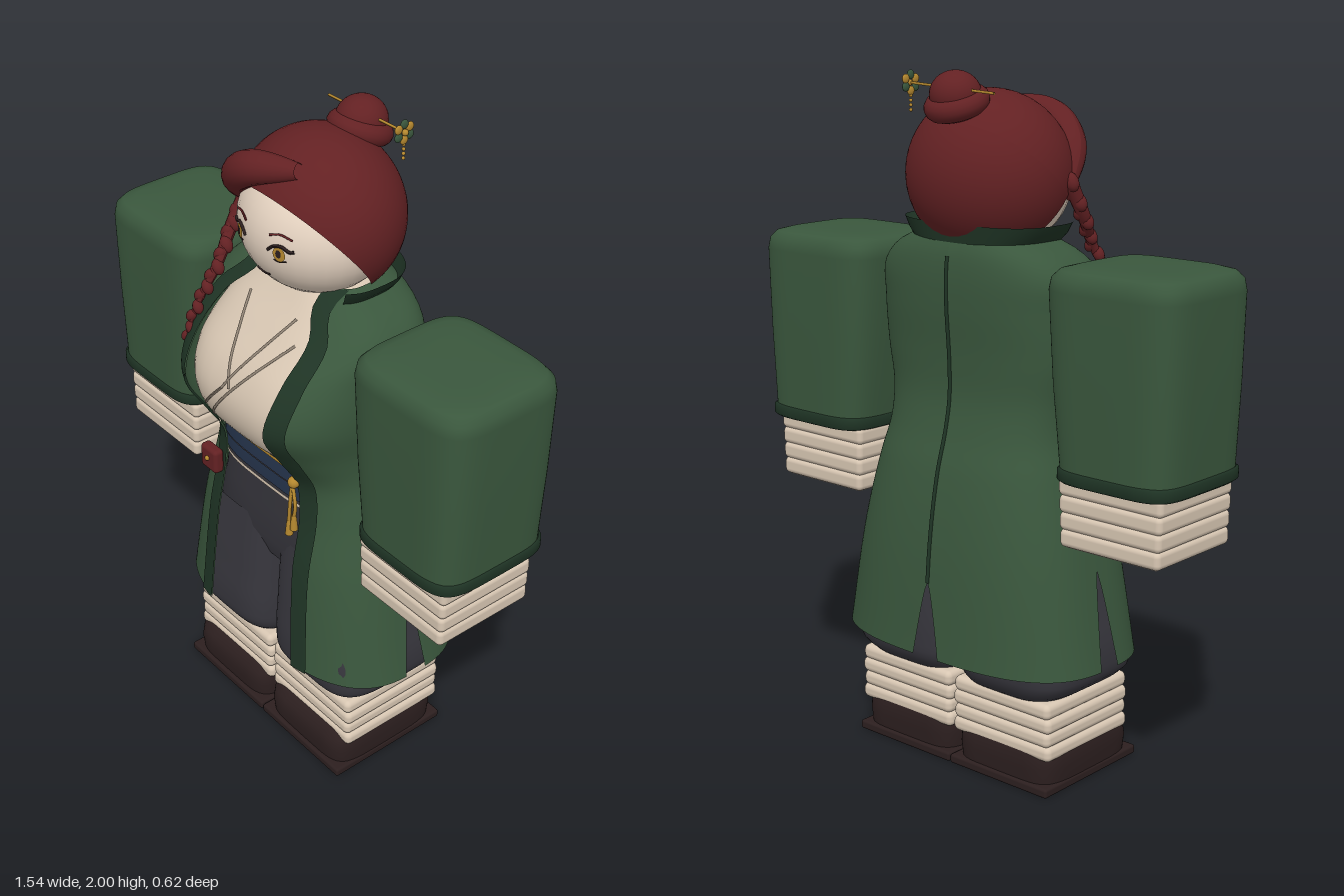
import * as THREE from 'three';
import { mergeVertices } from 'three/addons/utils/BufferGeometryUtils.js';
import { RoundedBoxGeometry } from 'three/addons/geometries/RoundedBoxGeometry.js';

const mat = (name, color, side = THREE.DoubleSide) => {
  const m = new THREE.MeshStandardMaterial({ color, side });
  m.name = name;
  return m;
};
const V = (x, y, z) => new THREE.Vector3(x, y, z);

// Skin through cross-sections [y, halfWidth, zFront, zBack, centreX], listed from top to bottom.
// The angle runs from the front (0) over +x to the back (PI).
function loft(rows, { p = 0.7, zc = -0.03, seg = 48, from = () => 0, to = () => Math.PI * 2, grow = 0 } = {}) {
  const pos = [], idx = [];
  const pw = v => Math.abs(v) < 1e-9 ? 0 : Math.sign(v) * Math.abs(v) ** p;
  rows.forEach((r, i) => {
    const [y, a, zf, zb, cx = 0] = r, t0 = from(r), t1 = to(r);
    for (let j = 0; j <= seg; j++) {
      const t = t0 + (t1 - t0) * j / seg, c = Math.cos(t);
      pos.push(cx + (a + grow) * pw(Math.sin(t)), y, zc + ((c > 0 ? zf - zc : zc - zb) + grow) * pw(c));
      if (i && j) {
        const d = i * (seg + 1) + j, u = d - seg - 1;
        idx.push(u - 1, d - 1, u, u, d - 1, d);
      }
    }
  });
  let g = new THREE.BufferGeometry();
  g.setAttribute('position', new THREE.Float32BufferAttribute(pos, 3));
  g.setIndex(idx);
  g = mergeVertices(g, 1e-5);
  g.computeVertexNormals();
  return g;
}

// Smooth sampling of a few key sections (keys listed from bottom to top)
function sampler(keys) {
  const n = keys[0].length - 1;
  const it = new THREE.CubicInterpolant(keys.map(k => k[0]), keys.flatMap(k => k.slice(1)), n, new Array(n));
  const at = y => [y, ...it.evaluate(y)];
  const y0 = keys[0][0], y1 = keys[keys.length - 1][0];
  const rows = (n = 40, lo = y0, hi = y1) => Array.from({ length: n + 1 }, (_, i) => at(hi + (lo - hi) * i / n));
  return { at, rows };
}

// Tube whose radius follows a rule along its length
function strand(points, radius, seg = 24, sides = 10) {
  const curve = new THREE.CatmullRomCurve3(points);
  const g = new THREE.TubeGeometry(curve, seg, 1, sides);
  const p = g.attributes.position, v = V();
  for (let i = 0; i < p.count; i++) {
    const u = Math.floor(i / (sides + 1)) / seg, c = curve.getPointAt(u);
    v.fromBufferAttribute(p, i).sub(c).multiplyScalar(radius(u)).add(c);
    p.setXYZ(i, v.x, v.y, v.z);
  }
  g.computeVertexNormals();
  return g;
}
const cord = (points, r = 0.005, seg = 16) => strand(points, () => r, seg, 6);

export function createModel() {
  const root = new THREE.Group();
  const M = {
    coat: mat('coat green', 0x3a573d), trim: mat('dark green trim', 0x1f3425),
    skin: mat('skin', 0xe4d2c0), cloth: mat('cream cloth', 0xd8c7b3),
    fold: mat('cloth fold', 0x8f8273), hair: mat('red hair', 0x632123),
    pants: mat('charcoal', 0x37363d), shoe: mat('dark brown', 0x2c1f1f),
    sash: mat('navy', 0x27364f), gold: mat('gold', 0xb5882f),
  };
  const add = (name, geo, m, x = 0, y = 0, z = 0) => {
    const mesh = new THREE.Mesh(geo, m);
    mesh.name = name;
    mesh.position.set(x, y, z);
    root.add(mesh);
    return mesh;
  };
  const ball = (name, m, x, y, z, rx, ry = rx, rz = rx) =>
    add(name, new THREE.SphereGeometry(1, 32, 20), m, x, y, z).scale.set(rx, ry, rz);

  // Coat: [y, halfWidth, zFront, zBack, openingHalfWidth]
  const coat = sampler([
    [0.36, 0.45, 0.245, -0.31, 0.2], [0.7, 0.385, 0.22, -0.285, 0.18], [0.9, 0.335, 0.19, -0.25, 0.175],
    [1.0, 0.31, 0.2, -0.22, 0.17], [1.1, 0.31, 0.265, -0.2, 0.175], [1.22, 0.33, 0.33, -0.2, 0.18],
    [1.36, 0.335, 0.27, -0.21, 0.19], [1.46, 0.33, 0.16, -0.21, 0.18], [1.52, 0.27, 0.1, -0.2, 0.13],
    [1.56, 0.18, 0.05, -0.18, 0.12],
  ]);
  const rows = coat.rows(60).map(r => Object.assign(r.slice(0, 4), { open: r[4] }));
  const edge = (r, w = 0) => Math.asin(Math.min(0.98, (r.open + w) / r[1]) ** (1 / 0.7));
  const slit = (y, top, w) => w * Math.max(0, (top - y) / (top - 0.36));
  const side = r => slit(r[0], 0.63, 0.055), back = r => slit(r[0], 0.58, 0.04);
  const H = Math.PI / 2;
  for (const s of [1, -1]) {
    // each panel is mirrored by running its angles the other way round
    const panel = (name, m, a, b, seg, grow = 0) => add(name, loft(rows, {
      seg, grow, from: r => s > 0 ? a(r) : -b(r), to: r => s > 0 ? b(r) : -a(r),
    }), m);
    panel('coatFrontPanel', M.coat, r => edge(r), r => H - side(r), 24);
    panel('coatBackPanel', M.coat, r => H + side(r), r => Math.PI - back(r), 24);
    panel('coatFrontTrim', M.trim, r => edge(r, -0.006), r => edge(r, 0.05), 6, 0.006);
  }
  add('backSeam', cord(coat.rows(20, 0.58, 1.5).map(r => V(0, r[0], r[3])), 0.006, 40), M.trim);
  add('collar', loft([[1.59, 0.25, 0.12, -0.2], [1.56, 0.235, 0.11, -0.195], [1.52, 0.2, 0.08, -0.19]],
    { from: () => 1.0, to: () => Math.PI * 2 - 1.0 }), M.trim);

  // Wrapped shirt with crossing folds
  const shirt = sampler([
    [1.02, 0.25, 0.16, -0.17], [1.06, 0.26, 0.21, -0.17], [1.12, 0.27, 0.27, -0.17], [1.22, 0.28, 0.3, -0.17],
    [1.32, 0.28, 0.27, -0.17], [1.42, 0.25, 0.19, -0.17], [1.5, 0.2, 0.12, -0.16], [1.58, 0.1, 0.06, -0.12],
  ]);
  add('shirt', loft(shirt.rows(36), { p: 0.6 }), M.cloth);
  const onShirt = (x, y) => {
    const [, a, zf] = shirt.at(y), sn = Math.abs(x / a) ** (1 / 0.6);
    return V(x, y, -0.03 + (zf + 0.03) * Math.sqrt(1 - sn * sn) ** 0.6);
  };
  const fold = (x0, y0, x1, y1) => add('shirtFold', cord(Array.from({ length: 9 }, (_, i) =>
    onShirt(x0 + (x1 - x0) * i / 8, y0 + (y1 - y0) * i / 8)), 0.004), M.fold);
  fold(0.1, 1.48, -0.03, 1.26);
  fold(-0.1, 1.48, 0.0, 1.27);
  fold(0.14, 1.43, -0.15, 1.07);
  fold(-0.03, 1.26, -0.12, 1.16);

  // Sash, cords, pouch and tassel
  add('sash', loft([[1.055, 0.27, 0.175, -0.17], [0.98, 0.275, 0.18, -0.17], [0.91, 0.28, 0.175, -0.18]], { p: 0.55 }), M.sash);
  const belt = (name, m, y, h, z) => add(name, loft([[y + h, 0.275, z, -0.175], [y, 0.275, z, -0.175]], { p: 0.55 }), m);
  belt('sashCord', M.gold, 1.015, 0.01, 0.186);
  belt('sashLining', M.cloth, 0.892, 0.012, 0.178);
  belt('sashFold', M.pants, 0.965, 0.006, 0.184);
  add('pouch', new RoundedBoxGeometry(0.075, 0.08, 0.035, 3, 0.012), M.hair, -0.22, 0.87, 0.2);
  add('pouchButton', new THREE.SphereGeometry(0.008, 10, 8), M.gold, -0.22, 0.875, 0.219);
  add('tasselKnot', new THREE.SphereGeometry(0.018, 14, 10), M.gold, 0.16, 1.0, 0.195);
  for (const [x, y] of [[0.15, 0.82], [0.172, 0.85]]) {
    add('tasselCord', cord([V(0.16, 1, 0.2), V(x + 0.006, 0.93, 0.205), V(x, y + 0.04, 0.205)], 0.006), M.gold);
    add('tassel', new THREE.CylinderGeometry(0.007, 0.012, 0.05, 10), M.gold, x, y + 0.02, 0.205);
  }

  // Trousers
  add('hips', loft([[0.93, 0.27, 0.165, -0.19], [0.8, 0.3, 0.165, -0.21], [0.68, 0.34, 0.165, -0.22],
    [0.6, 0.33, 0.14, -0.2]], { p: 0.6 }), M.pants);
  const leg = sampler([
    [0.27, 0.165, 0.16, -0.2, 0.187], [0.3, 0.193, 0.19, -0.225, 0.2], [0.36, 0.202, 0.2, -0.235, 0.204],
    [0.5, 0.192, 0.19, -0.235, 0.194], [0.72, 0.165, 0.165, -0.21, 0.168],
  ]);

  for (const s of [1, -1]) {
    const mirror = list => list.map(([y, a, f, b, x]) => [y, a, f, b, x * s]);
    add('trouserLeg', loft([...mirror(leg.rows(24)), [0.27, 0, -0.02, -0.02, 0.187 * s]], { p: 0.5, zc: -0.02 }), M.pants);
    // Calf wraps and shoes
    for (let i = 0; i < 4; i++)
      add('calfWrap', new RoundedBoxGeometry(0.366 - (i % 2) * 0.008, 0.046, 0.365, 3, 0.018), M.cloth, 0.187 * s, 0.125 + i * 0.042, -0.02);
    add('shoe', loft(mirror([[0.138, 0, 0, 0, 0.187], [0.138, 0.15, 0.13, -0.175, 0.187], [0.13, 0.172, 0.165, -0.195, 0.187],
      [0.11, 0.182, 0.188, -0.205, 0.187], [0.07, 0.184, 0.195, -0.207, 0.187], [0.025, 0.18, 0.19, -0.203, 0.187]]),
    { p: 0.35, zc: 0 }), M.shoe);
    add('sole', new RoundedBoxGeometry(0.368, 0.028, 0.415, 2, 0.008), M.shoe, 0.186 * s, 0.014, -0.005);

    // Wide sleeve, cuff and wrapped hand
    const z = -0.025, sec = (y, a, d, x) => [y, a, z + d, z - d, x * s];
    add('sleeve', loft([sec(1.514, 0, 0, 0.55), sec(1.514, 0.1, 0.09, 0.55), sec(1.511, 0.165, 0.15, 0.55), sec(1.502, 0.198, 0.18, 0.55),
      sec(1.482, 0.216, 0.197, 0.55), sec(1.45, 0.221, 0.203, 0.55), sec(1.2, 0.21, 0.2, 0.555), sec(0.96, 0.192, 0.195, 0.562)],
    { p: 0.42, zc: z, seg: 64 }), M.coat);
    add('cuff', loft([sec(0.974, 0.192, 0.194, 0.563), sec(0.968, 0.198, 0.201, 0.563), sec(0.942, 0.198, 0.201, 0.563),
      sec(0.935, 0.19, 0.193, 0.563), sec(0.935, 0, 0, 0.563)], { p: 0.4, zc: z, seg: 64 }), M.trim);
    for (let i = 0; i < 4; i++)
      add('handWrap', new RoundedBoxGeometry(0.335 + i * 0.004, 0.052, 0.33, 3, 0.016), M.cloth, 0.552 * s, 0.771 + i * 0.048, -0.02);
    add('palm', new THREE.BoxGeometry(0.3, 0.01, 0.295), M.skin, 0.552 * s, 0.747, -0.02);
  }

  // Head and features laid on the face
  const hy = 1.69, hz = -0.01, R = [0.225, 0.19, 0.2];
  ball('head', M.skin, 0, hy, hz, ...R);
  add('neck', new THREE.CylinderGeometry(0.1, 0.11, 0.12, 24), M.skin, 0, 1.53, -0.03);
  const onFace = (x, y, lift = 0.002) => V(x, y, hz + lift + R[2] * Math.sqrt(1 - (x / R[0]) ** 2 - ((y - hy) / R[1]) ** 2));
  const line = (name, m, pts, r) => add(name, cord(pts.map(([x, y]) => onFace(x, y)), r), m);
  const disc = (name, m, x, y, rx, ry, lift) => {
    const g = new THREE.CircleGeometry(1, 20), p = g.attributes.position;
    for (let i = 0; i < p.count; i++) {
      const q = onFace(x + p.getX(i) * rx, y + p.getY(i) * ry, lift);
      p.setXYZ(i, q.x, q.y, q.z);
    }
    g.computeVertexNormals();
    add(name, g, m);
  };
  for (const s of [1, -1]) {
    disc('iris', M.gold, 0.083 * s, 1.686, 0.018, 0.021, 0.003);
    disc('pupil', M.shoe, 0.083 * s, 1.688, 0.008, 0.012, 0.005);
    line('upperLash', M.shoe, [[0.048 * s, 1.69], [0.065 * s, 1.705], [0.09 * s, 1.71], [0.112 * s, 1.7], [0.124 * s, 1.704]], 0.0045);
    line('lowerLash', M.shoe, [[0.066 * s, 1.666], [0.083 * s, 1.663], [0.102 * s, 1.669]], 0.002);
    line('eyebrow', M.hair, [[0.05 * s, 1.732], [0.08 * s, 1.741], [0.115 * s, 1.733]], 0.003);
  }
  line('mouth', M.shoe, [[-0.026, 1.596], [0, 1.59], [0.026, 1.596]], 0.0025);

  // Hair: tilted cap, swept fringe, bun and side braid
  const cap = new THREE.SphereGeometry(1, 48, 32, 0, Math.PI * 2, 0, 1.93);
  cap.rotateX(-0.86).scale(0.246, 0.236, 0.222);
  cap.computeVertexNormals();
  add('hairCap', cap, M.hair, 0, 1.712, -0.03);
  add('fringe', strand([V(0.07, 1.895, 0.1), V(-0.07, 1.865, 0.145), V(-0.17, 1.79, 0.115), V(-0.228, 1.68, 0.04)],
    u => 0.004 + 0.046 * Math.sin(Math.PI * Math.min(1, u * 0.9 + 0.08)) ** 0.7, 30, 16), M.hair);
  ball('bun', M.hair, 0, 1.935, -0.168, 0.072, 0.066, 0.072);
  const ring = new THREE.TorusGeometry(0.06, 0.032, 14, 36);
  ring.rotateX(H - 0.35);
  add('bunCoil', ring, M.hair, 0, 1.912, -0.163);
  const braid = new THREE.CatmullRomCurve3([V(-0.23, 1.7, 0.04), V(-0.237, 1.6, 0.095), V(-0.213, 1.52, 0.16),
    V(-0.228, 1.42, 0.215), V(-0.238, 1.33, 0.25), V(-0.248, 1.24, 0.255)]);
  add('braidCore', strand(braid.points, u => 0.02 * (1 - u) + 0.003, 40), M.hair);
  for (let i = 0; i < 15; i++) {
    const c = braid.getPointAt(i / 16), r = 0.026 - i * 0.0006;
    const lobe = add('braidLobe', new THREE.SphereGeometry(1, 14, 10), M.hair, c.x + (i % 2 ? 0.006 : -0.006), c.y, c.z);
    lobe.scale.set(r * 0.8, r * 1.1, r * 0.8);
    lobe.rotation.z = i % 2 ? 0.5 : -0.5;
  }

  // Hairpin with flower and dangling beads
  add('hairpin', cord([V(-0.15, 1.945, -0.18), V(0.0, 1.952, -0.174), V(0.165, 1.96, -0.168)], 0.004), M.gold);
  for (let i = 0; i < 6; i++) {
    const a = i * Math.PI / 3;
    ball('flowerPetal', i % 2 ? M.gold : M.coat, 0.168, 1.96 + 0.022 * Math.cos(a), -0.168 + 0.022 * Math.sin(a), 0.006, 0.013, 0.013);
  }
  ball('flowerCentre', M.gold, 0.172, 1.96, -0.168, 0.009);
  for (let i = 0; i < 4; i++) ball('hangingBead', M.gold, 0.168, 1.925 - i * 0.013, -0.168, 0.005);
  return root;
}
